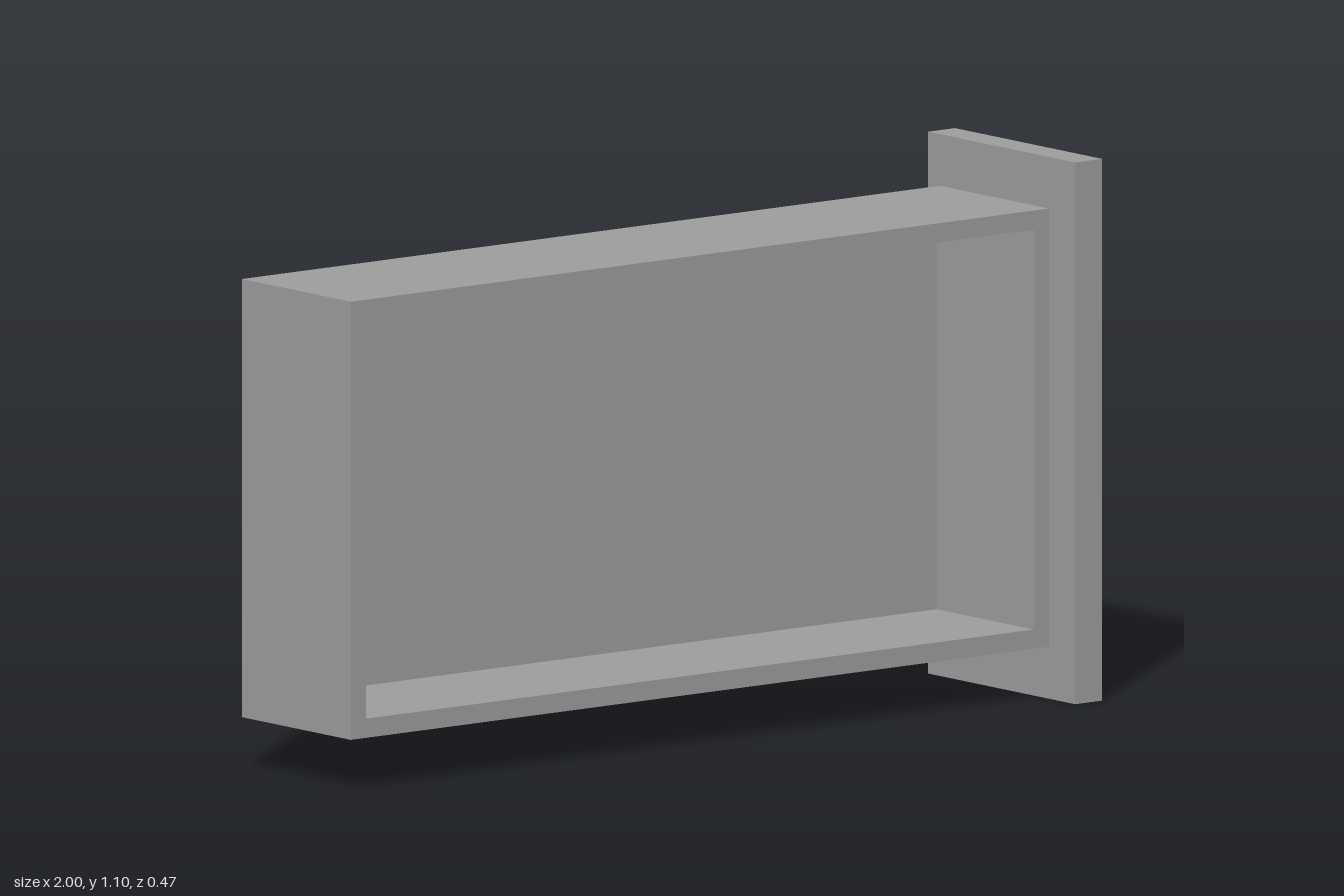
import * as THREE from 'three';

const bodyMaterial = new THREE.MeshStandardMaterial({ color: 0x9e9e9e });
const handleMaterial = new THREE.MeshStandardMaterial({ color: 0x7c7c7c });

function add(group, name, geometry, material, x = 0, y = 0, z = 0) {
  const mesh = new THREE.Mesh(geometry, material);
  mesh.name = name;
  mesh.position.set(x, y, z);
  group.add(mesh);
}

function rectangle(PathType, x0, y0, x1, y1) {
  return new PathType([[x0, y0], [x1, y0], [x1, y1], [x0, y1]].map(([x, y]) => new THREE.Vector2(x, y)));
}

// U-shaped bar with rounded corners, both ends sunk into the front panel
function handleGeometry() {
  const xIn = 0.85, xOut = 0.99, low = 0.397, high = 0.709, r = 0.02;
  const v = (x, y) => new THREE.Vector3(x, y, 0);
  const path = new THREE.CurvePath();
  path.add(new THREE.LineCurve3(v(xIn, low), v(xOut - r, low)));
  path.add(new THREE.QuadraticBezierCurve3(v(xOut - r, low), v(xOut, low), v(xOut, low + r)));
  path.add(new THREE.LineCurve3(v(xOut, low + r), v(xOut, high - r)));
  path.add(new THREE.QuadraticBezierCurve3(v(xOut, high - r), v(xOut, high), v(xOut - r, high)));
  path.add(new THREE.LineCurve3(v(xOut - r, high), v(xIn, high)));
  return new THREE.TubeGeometry(path, 120, 0.0095, 16, false);
}

export function createModel() {
  const drawer = new THREE.Group();
  drawer.name = 'drawer';

  // Four walls as one frame, open towards +z
  const x0 = -1, x1 = 0.794, y0 = 0.106, y1 = 0.998, back = -0.198, floor = -0.16, rim = 0.152, wall = 0.039;
  const frame = rectangle(THREE.Shape, x0, y0, x1, y1);
  frame.holes.push(rectangle(THREE.Path, x0 + wall, y0 + wall, x1 - wall, y1 - wall));
  add(drawer, 'drawerWalls',
    new THREE.ExtrudeGeometry(frame, { depth: rim - floor, bevelEnabled: false }), bodyMaterial, 0, 0, floor);

  // Closed bottom of the drawer
  add(drawer, 'drawerBottom', new THREE.BoxGeometry(x1 - x0, y1 - y0, floor - back), bodyMaterial,
    (x0 + x1) / 2, (y0 + y1) / 2, (floor + back) / 2);

  // Oversized front panel and its pull
  add(drawer, 'frontPanel', new THREE.BoxGeometry(0.069, 1.103, 0.473), bodyMaterial, 0.8285, 0.5515, 0);
  add(drawer, 'handle', handleGeometry(), handleMaterial);

  return drawer;
}
